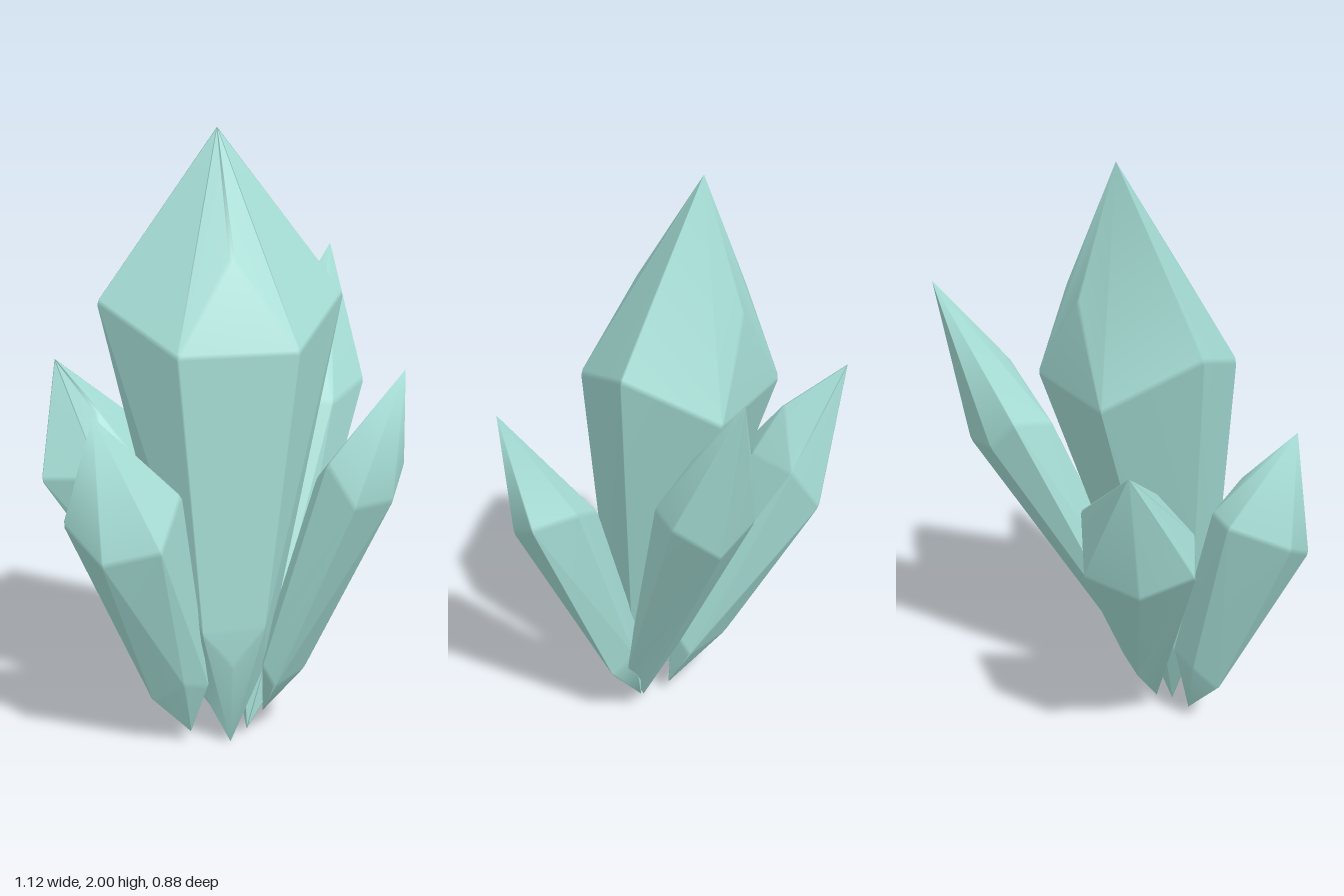
import * as THREE from 'three';
import { mergeVertices } from 'three/addons/utils/BufferGeometryUtils.js';
import { ConvexGeometry } from 'three/addons/geometries/ConvexGeometry.js';

const BEVEL = 0.012;

// Hull of the points with narrow bevelled edges and smooth normals; the two ends stay sharp.
function bevelledHull(points, ends) {
  const corners = new ConvexGeometry(points).getAttribute('position');
  const inset = [...ends];
  for (let i = 0; i < corners.count; i += 3) {
    const face = [0, 1, 2].map((k) => new THREE.Vector3().fromBufferAttribute(corners, i + k));
    const centre = new THREE.Vector3().add(face[0]).add(face[1]).add(face[2]).divideScalar(3);
    for (const corner of face) {
      inset.push(corner.clone().add(centre.clone().sub(corner).setLength(BEVEL)));
    }
  }
  const hull = new ConvexGeometry(inset);
  hull.deleteAttribute('normal');
  const geometry = mergeVertices(hull);
  geometry.computeVertexNormals();
  return geometry;
}

// A crystal: a tip, a wide shoulder ring, a narrow root ring and a base point.
function crystal(name, material, { tip, shoulder, root, base }) {
  const points = [tip, base, ...shoulder, ...root].map((p) => new THREE.Vector3(...p));
  const mesh = new THREE.Mesh(bevelledHull(points, points.slice(0, 2)), material);
  mesh.name = name;
  return mesh;
}

export function createModel() {
  const group = new THREE.Group();
  group.name = 'crystalCluster';
  const material = new THREE.MeshStandardMaterial({ color: 0xa5ddd5 });

  // Tall middle crystal, with a ridge point between each pair of front and back corners
  group.add(crystal('centreCrystal', material, {
    tip: [0.01, 2.0, -0.04],
    shoulder: [
      [-0.39, 1.47, 0.02], [-0.18, 1.34, 0.295], [0.205, 1.34, 0.295],
      [0.415, 1.47, 0.02], [0.205, 1.28, -0.215], [-0.175, 1.28, -0.215],
      [0.01, 1.62, 0.2], [0.01, 1.58, -0.185],
    ],
    root: [
      [-0.12, 0.25, 0.17], [-0.1, 0.42, 0.28], [0, 0.3, 0.27], [0.105, 0.43, 0.28],
      [0.13, 0.25, 0.17], [0.08, 0.3, 0.09], [-0.08, 0.3, 0.09],
    ],
    base: [0.01, 0, 0.19],
  }));

  // Four smaller crystals leaning outwards
  group.add(crystal('frontLeftCrystal', material, {
    tip: [0.51, 1.3, 0.41],
    shoulder: [
      [0.265, 1.01, 0.415], [0.35, 0.87, 0.445], [0.49, 0.87, 0.385],
      [0.56, 0.95, 0.265], [0.41, 0.95, 0.19], [0.29, 0.9, 0.195],
    ],
    root: [
      [0.11, 0.27, 0.22], [0.15, 0.2, 0.23], [0.26, 0.23, 0.17],
      [0.2, 0.3, 0.12], [0.13, 0.3, 0.13],
    ],
    base: [0.13, 0.08, 0.14],
  }));

  group.add(crystal('frontRightCrystal', material, {
    tip: [-0.45, 1.18, 0.34],
    shoulder: [
      [-0.54, 0.82, 0.265], [-0.44, 0.725, 0.415], [-0.26, 0.765, 0.445],
      [-0.175, 0.91, 0.33], [-0.28, 0.88, 0.14], [-0.4, 0.88, 0.115],
    ],
    root: [
      [-0.25, 0.17, 0.2], [-0.16, 0.25, 0.275], [-0.07, 0.22, 0.23],
      [-0.1, 0.28, 0.12], [-0.2, 0.25, 0.13],
    ],
    base: [-0.12, 0.04, 0.17],
  }));

  group.add(crystal('backLeftCrystal', material, {
    tip: [0.49, 1.55, -0.44],
    shoulder: [
      [0.565, 1.11, -0.24], [0.42, 1.07, -0.1], [0.22, 1.08, -0.16],
      [0.19, 1.12, -0.32], [0.27, 1.02, -0.365], [0.45, 0.98, -0.345],
      [0.4, 1.27, -0.22],
    ],
    root: [
      [0.2, 0.22, 0.15], [0.2, 0.34, 0.07], [0.1, 0.34, 0.03],
      [0.04, 0.27, 0.04], [0.06, 0.3, 0.14], [0.15, 0.32, 0.16],
    ],
    base: [0.07, 0.03, 0.165],
  }));

  group.add(crystal('backRightCrystal', material, {
    tip: [-0.49, 1.21, -0.315],
    shoulder: [
      [-0.565, 0.85, -0.12], [-0.38, 0.88, 0.005], [-0.26, 0.92, -0.08],
      [-0.155, 0.95, -0.28], [-0.26, 0.78, -0.335], [-0.45, 0.76, -0.25],
      [-0.37, 1.07, -0.14],
    ],
    root: [
      [0.03, 0.23, 0], [0, 0.3, -0.04], [-0.13, 0.25, -0.05],
      [-0.16, 0.27, 0.05], [-0.09, 0.3, 0.12], [0.01, 0.3, 0.08],
    ],
    base: [-0.01, 0.05, 0.11],
  }));

  return group;
}
